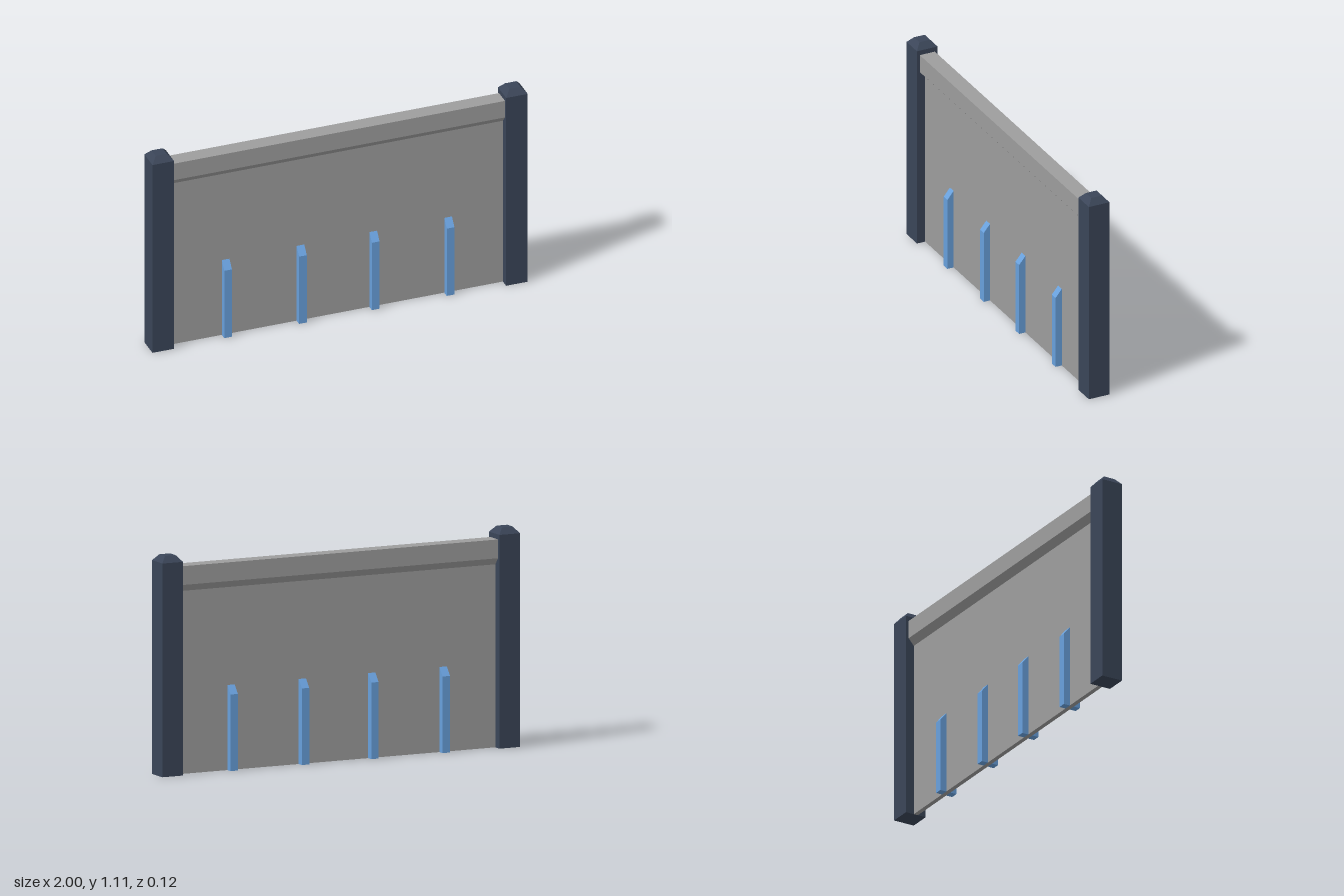
import * as THREE from 'three';

const postColor = new THREE.MeshStandardMaterial({ color: 0x3a4558 });
postColor.name = 'slate post';
const panelColor = new THREE.MeshStandardMaterial({ color: 0x9d9d9d });
panelColor.name = 'grey panel';
const ribColor = new THREE.MeshStandardMaterial({ color: 0x68a0dc });
ribColor.name = 'blue rib';

const POST = 0.115, POST_H = 1.08, CAP_H = 0.032, CAP_TOP = 0.06;
const SPAN = 2 - 2 * POST, PANEL_Z = 0.012;

function addMesh(parent, name, geometry, material) {
  const mesh = new THREE.Mesh(geometry, material);
  mesh.name = name;
  parent.add(mesh);
  return mesh;
}

// Extrudes a [z, y] profile along x, centred on x = 0
function extrudeAlongX(points, width) {
  const shape = new THREE.Shape(points.map(([z, y]) => new THREE.Vector2(z, y)));
  return new THREE.ExtrudeGeometry(shape, { depth: width, bevelEnabled: false })
    .translate(0, 0, -width / 2)
    .rotateY(-Math.PI / 2);
}

// Square post with a chamfered cap
function makePost(name) {
  const post = new THREE.Group();
  post.name = name;
  addMesh(post, 'postShaft', new THREE.BoxGeometry(POST, POST_H, POST).translate(0, POST_H / 2, 0), postColor);
  const cap = new THREE.CylinderGeometry(CAP_TOP * Math.SQRT1_2, POST * Math.SQRT1_2, CAP_H, 4)
    .rotateY(Math.PI / 4)
    .translate(0, POST_H + CAP_H / 2, 0)
    .toNonIndexed();
  cap.computeVertexNormals();
  addMesh(post, 'postCap', cap, postColor);
  return post;
}

export function createModel() {
  const barrier = new THREE.Group();
  barrier.name = 'barrier';

  // End posts
  for (const side of [-1, 1]) {
    const post = makePost(side < 0 ? 'rightPost' : 'leftPost');
    post.position.x = side * (1 - POST / 2);
    barrier.add(post);
  }

  // Thin panel between the posts
  addMesh(barrier, 'panel',
    new THREE.BoxGeometry(SPAN, 0.925, PANEL_Z * 2).translate(0, 0.4625, 0), panelColor);

  // Top rail with a sloping underside
  addMesh(barrier, 'topRail', extrudeAlongX([
    [-PANEL_Z, 0.925], [PANEL_Z, 0.925], [0.042, 0.96],
    [0.042, 1.055], [-0.042, 1.055], [-0.042, 0.96],
  ], SPAN), panelColor);

  // Sloped-top ribs on both faces
  const ribGeometry = extrudeAlongX([
    [PANEL_Z, 0], [0.047, 0], [0.047, 0.387], [PANEL_Z, 0.43],
  ], 0.041);
  for (const x of [-0.593, -0.194, 0.194, 0.593]) {
    for (const face of ['front', 'back']) {
      const rib = addMesh(barrier, face + 'Rib', ribGeometry, ribColor);
      rib.position.x = x;
      if (face === 'back') rib.rotation.y = Math.PI;
    }
  }

  return barrier;
}
